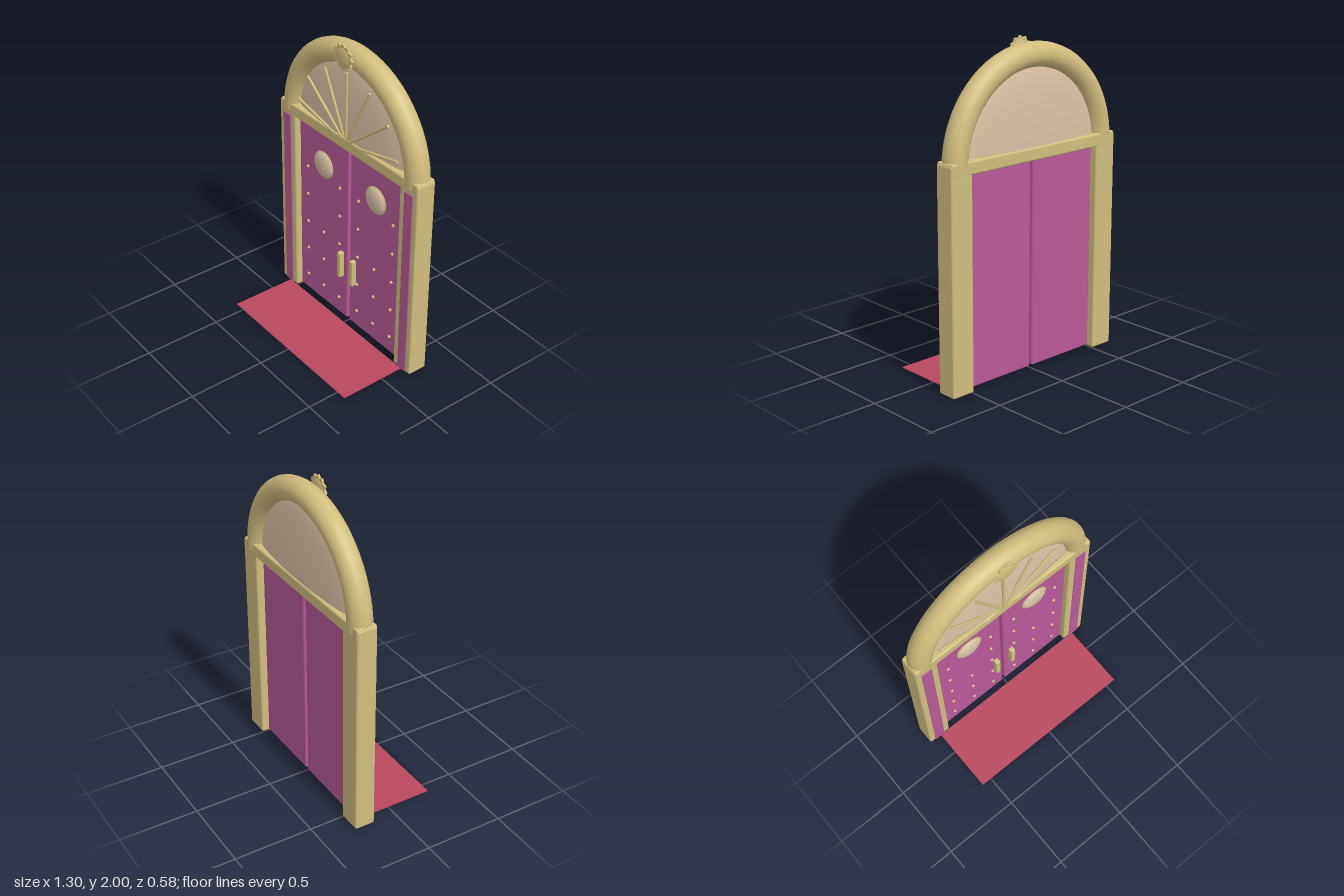
import * as THREE from 'three';
import { RoundedBoxGeometry } from 'three/addons/geometries/RoundedBoxGeometry.js';

const material = (name, color) => {
  const m = new THREE.MeshStandardMaterial({ color });
  m.name = name;
  return m;
};

export function createModel() {
  const model = new THREE.Group();
  model.name = 'archedDoorway';
  const gold = material('gold', 0xd0be7e);
  const magenta = material('magenta', 0xb85a97);
  const tan = material('tan', 0xd8c1a2);
  const red = material('carpetRed', 0xb9485f);
  const MID = -0.215; // depth of the wall's middle plane

  const add = (name, geometry, mat, x = 0, y = 0, z = 0) => {
    const mesh = new THREE.Mesh(geometry, mat);
    mesh.name = name;
    mesh.position.set(x, y, z);
    model.add(mesh);
    return mesh;
  };
  // Rounded block given by its limits on each axis
  const block = (name, mat, [x0, x1], [y0, y1], [z0, z1], radius = 0.012) =>
    add(name, new RoundedBoxGeometry(x1 - x0, y1 - y0, z1 - z0, 3, radius), mat,
      (x0 + x1) / 2, (y0 + y1) / 2, (z0 + z1) / 2);

  // Carpet in front of the doors
  add('carpet', new THREE.BoxGeometry(1.136, 0.006, 0.44), red, 0, 0.003, 0.07);

  // Lintel
  block('lintel', gold, [-0.645, 0.645], [1.295, 1.375], [-0.281, -0.149]);

  // Round arch, its ends sunk into the lintel
  add('arch', new THREE.TorusGeometry(0.57, 0.074, 20, 32, Math.PI), gold, 0, 1.33, MID);
  for (const s of [-1, 1]) {
    add('archEnd', new THREE.CircleGeometry(0.074, 20), gold, s * 0.57, 1.33, MID).rotation.x = Math.PI / 2;
  }

  // Shallow domed fanlight with seven ribs
  const fanlight = add('fanlight',
    new THREE.SphereGeometry(0.53, 40, 16, 0, Math.PI * 2, 0, Math.PI / 2), tan, 0, 1.33, MID);
  fanlight.scale.z = 0.11;
  for (let i = 0; i < 7; i++) {
    const a = (i + 0.5) * Math.PI / 7;
    const rib = add('fanlightRib', new THREE.CylinderGeometry(0.009, 0.009, 0.475, 8), gold,
      Math.cos(a) * 0.2375, 1.335 + Math.sin(a) * 0.2375, -0.157);
    rib.rotation.z = a - Math.PI / 2;
  }

  // Scalloped rosette on the crown of the arch
  const points = [];
  for (let i = 0; i < 60; i++) {
    const a = i * Math.PI / 30;
    const r = 0.068 + 0.015 * Math.pow(Math.abs(Math.cos(a * 6 - Math.PI * 3)), 2);
    points.push(new THREE.Vector2(Math.sin(a) * r, Math.cos(a) * r));
  }
  add('rosetteRim', new THREE.ExtrudeGeometry(new THREE.Shape(points), {
    depth: 0.008, bevelThickness: 0.003, bevelSize: 0.002, bevelSegments: 2,
  }), gold, 0, 1.915, -0.135);
  add('rosetteBoss', new THREE.SphereGeometry(0.066, 24, 16), gold, 0, 1.915, -0.131).scale.z = 0.26;

  const disc = new THREE.SphereGeometry(0.088, 32, 16);
  const rim = new THREE.TorusGeometry(0.087, 0.005, 8, 32);
  const stud = new THREE.SphereGeometry(0.011, 10, 8);
  for (const s of [-1, 1]) {
    const span = (a, b) => (s > 0 ? [a, b] : [-b, -a]);

    // Pillar with inlaid panel
    block('pillar', gold, span(0.495, 0.65), [0.004, 1.365], [-0.28, -0.15]);
    block('pillarPanel', magenta, span(0.538, 0.612), [0.006, 1.292], [-0.275, -0.145], 0.005);

    // Door leaf, set back between the pillars
    block('door', magenta, span(0.009, 0.497), [0.012, 1.297], [-0.235, -0.187]);

    // Round window and its rim
    add('window', disc, tan, s * 0.25, 1.06, -0.187).scale.z = 0.35;
    add('windowRim', rim, gold, s * 0.25, 1.06, -0.185);

    // Handle
    block('handle', gold, span(0.045, 0.077), [0.328, 0.515], [-0.19, -0.153], 0.007);

    // Studs; the two rows below the window leave the middle free
    [0.135, 0.345, 0.555, 0.765, 0.97].forEach((y, row) => {
      for (const x of row < 3 ? [0.09, 0.25, 0.412] : [0.09, 0.412]) {
        add('stud', stud, gold, s * x, y, -0.186);
      }
    });
  }
  return model;
}
